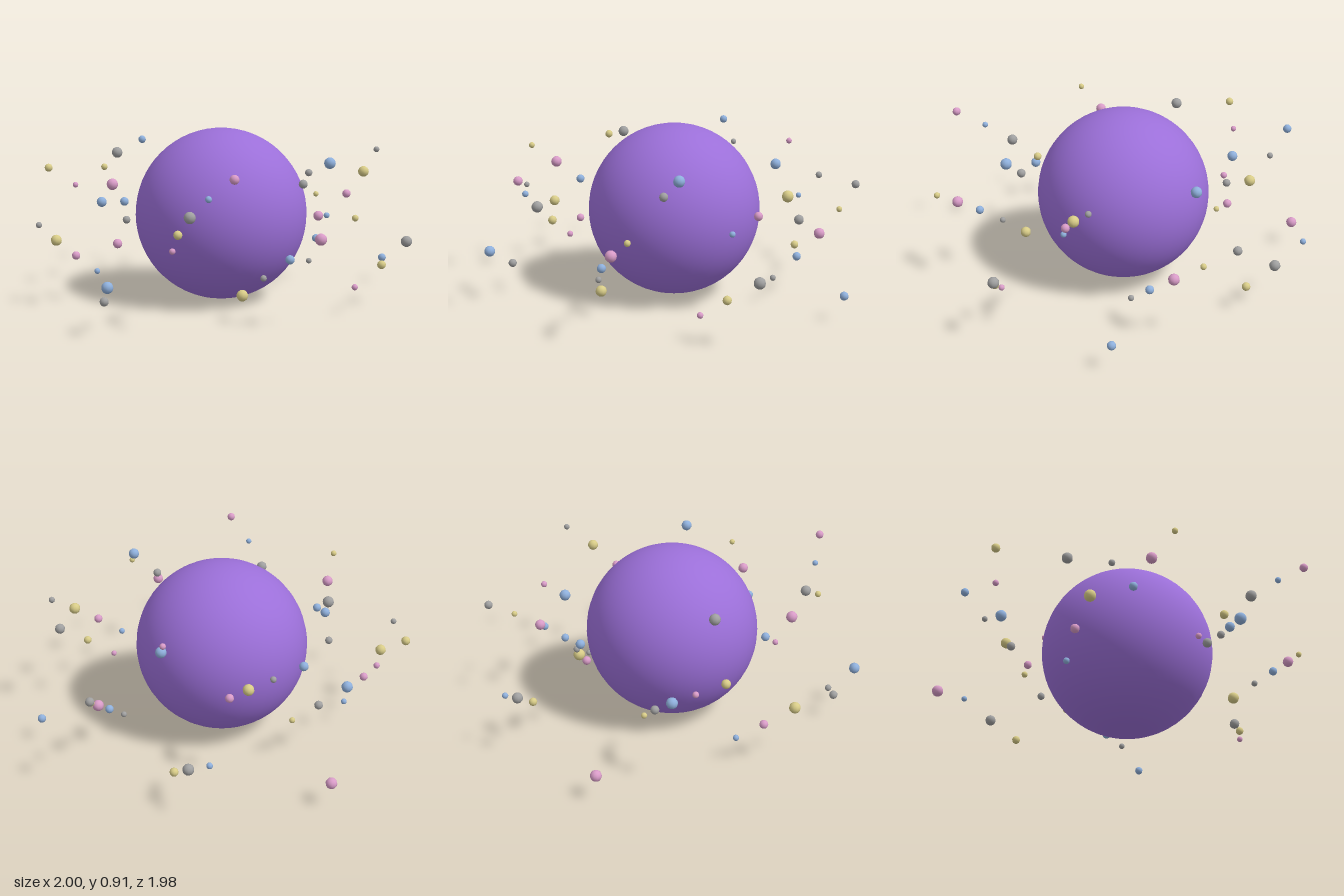
import * as THREE from 'three';

const PLANET_RADIUS = 0.457;
const MOON_COUNT = 50;
const STEP = 0.1062; // spacing of both the orbits and the height levels
const CENTRE = new THREE.Vector3(-0.003, PLANET_RADIUS, 0.006);

const paint = (color) => new THREE.MeshStandardMaterial({ color });

export function createModel() {
  const model = new THREE.Group();
  model.name = 'planetWithMoons';

  // Large smooth planet
  const planet = new THREE.Mesh(new THREE.SphereGeometry(PLANET_RADIUS, 48, 32), paint(0x9b6fd8));
  planet.name = 'planet';
  planet.position.copy(CENTRE);
  model.add(planet);

  // Moons cycle through 3 sizes, 4 colours, 5 orbits and 7 heights
  const moonShapes = [0.016, 0.0225, 0.029].map((r) => new THREE.SphereGeometry(r, 10, 8));
  const moonPaints = [0xa0a0a0, 0x8fb0dc, 0xd99cc8, 0xd8cc88].map(paint);
  const moons = new THREE.Group();
  moons.name = 'moons';
  moons.position.copy(CENTRE);
  for (let i = 0; i < MOON_COUNT; i++) {
    const angle = (i / MOON_COUNT) * Math.PI * 2;
    const orbit = 0.5635 + (i % 5) * STEP;
    const moon = new THREE.Mesh(moonShapes[i % 3], moonPaints[i % 4]);
    moon.name = `moon${i + 1}`;
    moon.position.set(orbit * Math.cos(angle), ((i % 7) - 3) * STEP, -orbit * Math.sin(angle));
    moons.add(moon);
  }
  model.add(moons);

  return model;
}
